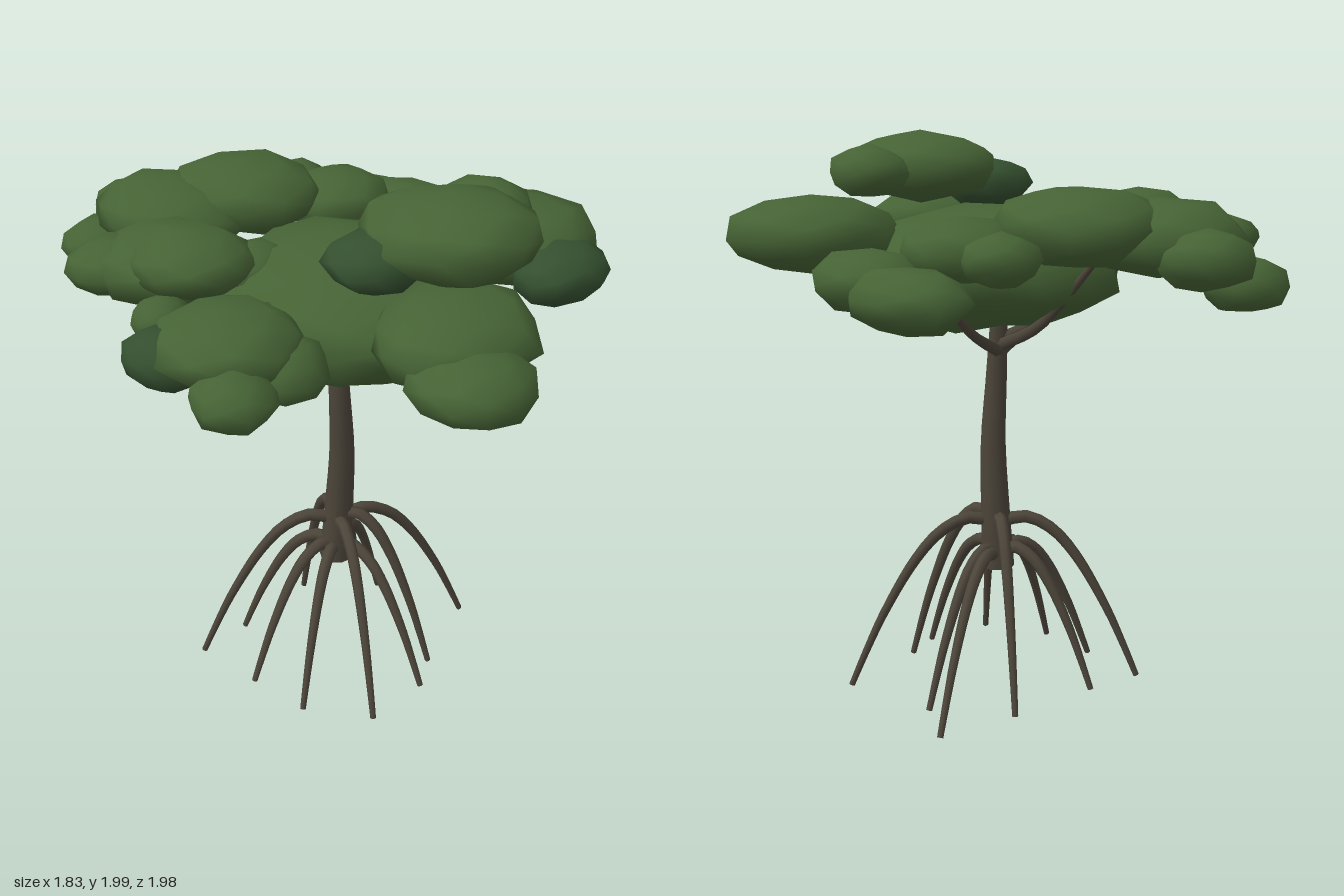
import * as THREE from 'three';
import { mergeVertices } from 'three/addons/utils/BufferGeometryUtils.js';

const V = (x, y, z) => new THREE.Vector3(x, y, z);

// Tube along a smooth path whose radius runs from r0 to r1
function taperedTube(points, r0, r1, segments, sides) {
  const path = new THREE.CatmullRomCurve3(points);
  const geo = new THREE.TubeGeometry(path, segments, 1, sides, false);
  const pos = geo.attributes.position;
  const v = V(0, 0, 0);
  for (let i = 0; i < pos.count; i++) {
    const u = Math.floor(i / (sides + 1)) / segments;
    const centre = path.getPointAt(u);
    v.fromBufferAttribute(pos, i).sub(centre).multiplyScalar(r0 + (r1 - r0) * u).add(centre);
    pos.setXYZ(i, v.x, v.y, v.z);
  }
  return geo;
}

// Lumpy, slightly irregular low-poly blob with smooth normals
function leafBlob(rx, ry, rz, seed, detail) {
  let geo = new THREE.IcosahedronGeometry(1, detail);
  geo.deleteAttribute('normal');
  geo.deleteAttribute('uv');
  geo = mergeVertices(geo, 1e-3);
  const pos = geo.attributes.position;
  let s = seed * 7919 + 17;
  const random = () => (s = (s * 16807) % 2147483647) / 2147483647;
  for (let i = 0; i < 5; i++) random();
  geo.rotateY(seed * 1.7);
  for (let i = 0; i < pos.count; i++) {
    const k = 0.95 + random() * 0.17;
    pos.setXYZ(i, pos.getX(i) * rx * k, pos.getY(i) * ry * k, pos.getZ(i) * rz * k);
  }
  geo.computeVertexNormals();
  return geo;
}

export function createModel() {
  const tree = new THREE.Group();
  tree.name = 'mangroveTree';
  const bark = new THREE.MeshStandardMaterial({ color: 0x4c453a, side: THREE.DoubleSide });
  bark.name = 'bark brown';
  const leaf = new THREE.MeshStandardMaterial({ color: 0x466335 });
  leaf.name = 'leaf green';
  const darkLeaf = new THREE.MeshStandardMaterial({ color: 0x344f2f });
  darkLeaf.name = 'dark leaf green';

  const add = (name, geo, mat, parent = tree) => {
    const mesh = new THREE.Mesh(geo, mat);
    mesh.name = name;
    parent.add(mesh);
    return mesh;
  };
  const addGroup = (name) => {
    const group = new THREE.Group();
    group.name = name;
    tree.add(group);
    return group;
  };

  // Trunk, gently bowed, with a closed underside
  add('trunk', taperedTube(
    [V(0.04, 0.43, 0.068), V(0.047, 0.65, 0.075), V(0.043, 0.9, 0.088), V(0.03, 1.12, 0.085), V(0.03, 1.33, 0.07)],
    0.06, 0.032, 12, 10), bark);
  const base = add('trunkBase', new THREE.CircleGeometry(0.06, 10), bark);
  base.rotation.x = Math.PI / 2;
  base.position.set(0.04, 0.432, 0.068);

  // Arching stilt roots: foot x, foot z, arch height
  const roots = addGroup('stiltRoots');
  [
    [0.55, -0.17, 0.5], [0.44, 0.01, 0.51], [0.5, 0.37, 0.62], [0.15, 0.43, 0.64],
    [0.01, 0.48, 0.51], [-0.24, 0.43, 0.62], [-0.35, 0.19, 0.5], [-0.33, -0.05, 0.51],
    [-0.3, -0.32, 0.62], [-0.09, -0.28, 0.51], [0.26, -0.24, 0.63],
  ].forEach(([x, z, h]) => {
    const at = (t, y) => V(0.04 + (x - 0.04) * t, y, 0.07 + (z - 0.07) * t);
    add('stiltRoot', taperedTube(
      [at(0.02, h - 0.02), at(0.2, h), at(0.38, h * 0.93), at(0.55, h * 0.77),
        at(0.77, h * 0.45), at(0.9, h * 0.21), at(1, 0.005)],
      0.025, 0.011, 18, 7), bark, roots);
  });

  // Branches spreading from the fork
  const branches = addGroup('branches');
  [
    [0.6, 1.56, -0.2], [0.12, 1.64, -0.5], [-0.34, 1.6, -0.28], [-0.45, 1.58, 0.06],
  ].forEach(([x, y, z], i) => {
    const low = 1.23 + (i % 3) * 0.02;
    add('branch', taperedTube(
      [V(0.03, low, 0.07), V(0.03 + (x - 0.03) * 0.4, low + 0.1, 0.07 + (z - 0.07) * 0.4), V(x, y, z)],
      0.024, 0.009, 10, 6), bark, branches);
  });

  // Broad crown centre
  const canopy = addGroup('canopy');
  add('crownCore', leafBlob(0.45, 0.21, 0.46, 1, 2), leaf, canopy).position.set(0.03, 1.525, 0.13);

  // Outer clumps: x, y, z, radius x, radius z (same as x if absent), shade
  // Height follows from the width: small clumps are rounder than wide ones
  [
    // back
    [-0.02, 1.68, -0.6, 0.25, 0.28],
    [-0.14, 1.54, -0.85, 0.14],
    [0.04, 1.63, -0.83, 0.15],
    [0.2, 1.72, -0.46, 0.27],
    // left side
    [0.5, 1.65, -0.25, 0.2],
    [0.55, 1.64, -0.47, 0.12],
    [0.48, 1.58, -0.07, 0.1],
    [0.77, 1.53, -0.3, 0.14, 0.22],
    [0.73, 1.56, -0.1, 0.18, 0.2],
    // front
    [0.54, 1.65, 0.46, 0.29],
    [0.43, 1.62, 0.68, 0.19, 0.15, darkLeaf],
    [-0.2, 1.64, 0.66, 0.28, 0.24],
    [-0.37, 1.59, 0.8, 0.19],
    // top
    [0, 1.86, 0.51, 0.265, 0.28],
    [0.26, 1.85, 0.48, 0.14, 0.16],
    [-0.2, 1.8, 0.36, 0.16, 0.15, darkLeaf],
    // right side
    [-0.61, 1.62, 0.11, 0.235],
    [-0.74, 1.59, -0.02, 0.13, 0.15, darkLeaf],
    [-0.79, 1.56, 0.27, 0.13],
    [-0.56, 1.56, 0.26, 0.15],
    [-0.4, 1.58, 0.06, 0.08],
    // right back
    [-0.31, 1.65, -0.39, 0.24],
    [-0.42, 1.64, -0.52, 0.15],
    [-0.35, 1.7, -0.24, 0.2],
    [-0.19, 1.65, -0.12, 0.13],
    [-0.55, 1.58, -0.2, 0.1],
  ].forEach(([x, y, z, rx, rz = rx, shade = leaf], i) => {
    const ry = 0.05 + 0.135 * (rx + rz);
    add('leafClump', leafBlob(rx, ry, rz, i + 2, 1), shade, canopy).position.set(x, y, z);
  });

  return tree;
}
